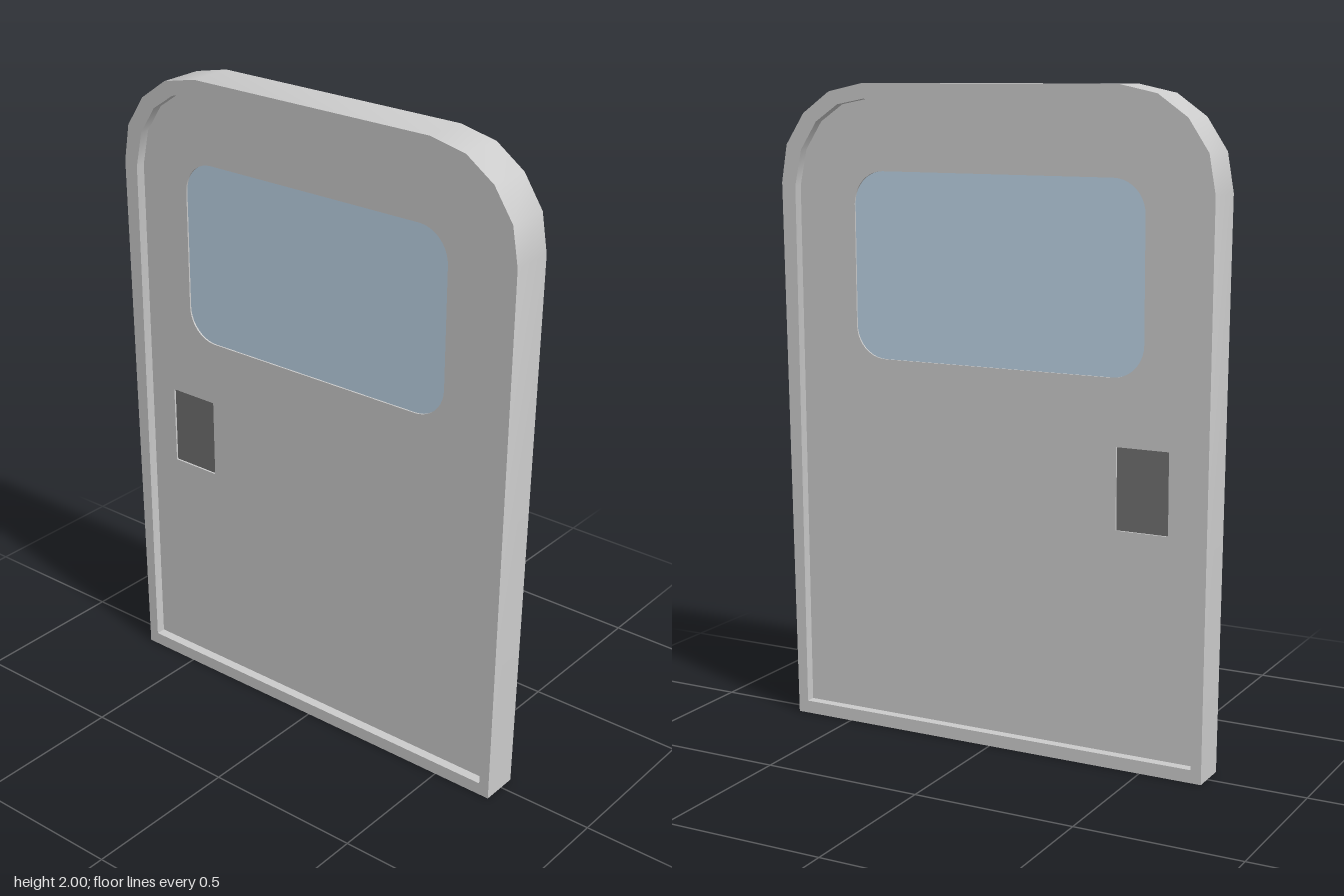
import * as THREE from 'three';
import { toCreasedNormals } from 'three/addons/utils/BufferGeometryUtils.js';

const FRONT = 0.07, BACK = -0.07, RECESS = 0.03, TAPER = 0.01;

const grey = new THREE.MeshStandardMaterial({ color: 0xcccccc });
const dark = new THREE.MeshStandardMaterial({ color: 0x707070 });
const glass = new THREE.MeshStandardMaterial({ color: 0xbdd4e6 });

// Right half of an arched outline, bottom to top, mirrored to the left.
function mirrored(half) {
  const points = half.map(([x, y]) => new THREE.Vector2(x, y));
  const left = half.map(([x, y]) => new THREE.Vector2(-x, y)).reverse();
  return points.concat(left);
}

const outer = mirrored([[0.695, 0], [0.71, 1.7], [0.69, 1.815], [0.627, 1.91], [0.535, 1.975], [0.418, 2]]);
const inner = mirrored([[0.662, 0.04], [0.662, 1.69], [0.638, 1.8], [0.582, 1.885], [0.505, 1.937], [0.415, 1.954]]);

// Rectangle given by its edges, with rounded corners when r > 0.
function rectangle(Type, x0, x1, y0, y1, r = 0) {
  const s = new Type();
  if (r === 0) return s.setFromPoints([[x0, y0], [x1, y0], [x1, y1], [x0, y1]].map(([x, y]) => new THREE.Vector2(x, y)));
  s.absarc(x1 - r, y0 + r, r, -Math.PI / 2, 0);
  s.absarc(x1 - r, y1 - r, r, 0, Math.PI / 2);
  s.absarc(x0 + r, y1 - r, r, Math.PI / 2, Math.PI);
  s.absarc(x0 + r, y0 + r, r, Math.PI, Math.PI * 1.5);
  s.closePath();
  return s;
}
const windowOutline = (Type) => rectangle(Type, -0.49, 0.468, 1.17, 1.74, 0.1);
const handleOutline = (Type) => rectangle(Type, -0.57, -0.405, 0.72, 0.968);

// Slab set back by inset from both faces; its rear leans so the door thickens upward.
function slab(name, shape, inset, material) {
  const depth = FRONT - BACK - 2 * inset;
  const geometry = new THREE.ExtrudeGeometry(shape, { depth, bevelEnabled: false, curveSegments: 5 });
  geometry.translate(0, 0, BACK + inset);
  const p = geometry.attributes.position;
  for (let i = 0; i < p.count; i++) {
    if (p.getZ(i) < 0) p.setZ(i, p.getZ(i) + (2 - p.getY(i)) * TAPER);
  }
  const mesh = new THREE.Mesh(toCreasedNormals(geometry, 0.7), material);
  mesh.name = name;
  return mesh;
}

export function createModel() {
  const door = new THREE.Group();
  door.name = 'door';

  // Raised rim around the door
  const rim = new THREE.Shape(outer);
  rim.holes.push(new THREE.Path(inner));
  door.add(slab('frame', rim, 0, grey));

  // Recessed panel with openings for the window and the handle plate
  const panel = new THREE.Shape(inner);
  panel.holes.push(windowOutline(THREE.Path), handleOutline(THREE.Path));
  door.add(slab('panel', panel, RECESS, grey));

  // Inserts visible from both faces
  door.add(slab('windowPane', windowOutline(THREE.Shape), RECESS + 0.005, glass));
  door.add(slab('handlePlate', handleOutline(THREE.Shape), RECESS + 0.006, dark));
  return door;
}
